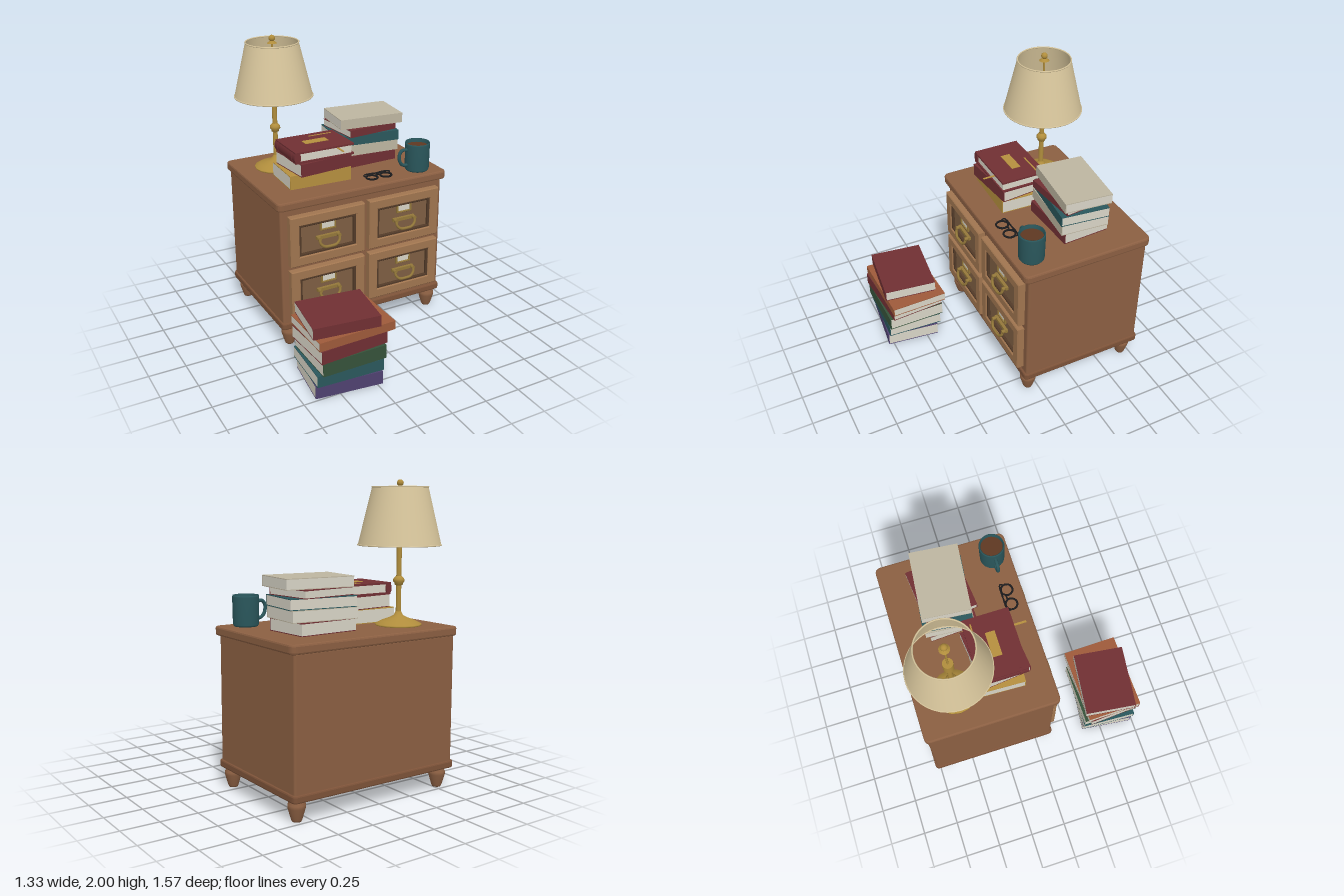
import * as THREE from 'three';
import { RoundedBoxGeometry } from 'three/addons/geometries/RoundedBoxGeometry.js';

const mat = (color, extra = {}) => new THREE.MeshStandardMaterial({ color, ...extra });
const wood = mat(0x8b5f42), trimWood = mat(0x7c5238), frameWood = mat(0xa0754f), panelWood = mat(0x7d5e42);
const darkWood = mat(0x523a28), brass = mat(0xb08d3c), pullBrass = mat(0x94783a), paper = mat(0xd8d4c6);
const red = mat(0x702f33), teal = mat(0x2a575c), gold = mat(0xb58f3e), black = mat(0x1c1c1e);
const beige = mat(0xbdb5a0), orange = mat(0x9e5a3a), green = mat(0x35523a), purple = mat(0x4f4170);
const shadeCloth = mat(0xd8c69c, { side: THREE.DoubleSide });

function add(parent, name, geometry, material, x = 0, y = 0, z = 0) {
  const mesh = new THREE.Mesh(geometry, material);
  mesh.name = name;
  mesh.position.set(x, y, z);
  parent.add(mesh);
  return mesh;
}

function group(parent, name, x = 0, y = 0, z = 0) {
  const g = new THREE.Group();
  g.name = name;
  g.position.set(x, y, z);
  parent.add(g);
  return g;
}

const box = (w, h, d) => new THREE.BoxGeometry(w, h, d);
const lathe = (points, n) => new THREE.LatheGeometry(points.map(p => new THREE.Vector2(...p)), n);
const tube = (points, r, n = 16, sides = 8) =>
  new THREE.TubeGeometry(new THREE.CatmullRomCurve3(points.map(p => new THREE.Vector3(...p))), n, r, sides);

// Rectangular frame with a rectangular opening and a slight bevel
function frame(w, h, border, depth, bevel) {
  const rect = (a, b, Type) => {
    const s = new Type();
    s.moveTo(-a, -b).lineTo(a, -b).lineTo(a, b).lineTo(-a, b).closePath();
    return s;
  };
  const shape = rect(w / 2 - bevel, h / 2 - bevel, THREE.Shape);
  shape.holes.push(rect(w / 2 - border, h / 2 - border, THREE.Path));
  return new THREE.ExtrudeGeometry(shape, {
    depth: depth - 2 * bevel, bevelThickness: bevel, bevelSize: bevel, bevelSegments: 1,
  }).translate(0, 0, bevel);
}

// Rounded-corner slab lying flat, base at y = 0
function slab(w, d, h, r, bevel) {
  const a = w / 2 - bevel, b = d / 2 - bevel, s = new THREE.Shape();
  s.moveTo(-a + r, -b).lineTo(a - r, -b).quadraticCurveTo(a, -b, a, -b + r);
  s.lineTo(a, b - r).quadraticCurveTo(a, b, a - r, b).lineTo(-a + r, b);
  s.quadraticCurveTo(-a, b, -a, b - r).lineTo(-a, -b + r).quadraticCurveTo(-a, -b, -a + r, -b);
  return new THREE.ExtrudeGeometry(s, {
    depth: h - 2 * bevel, bevelThickness: bevel, bevelSize: bevel, bevelSegments: 2, curveSegments: 5,
  }).rotateX(-Math.PI / 2).translate(0, bevel, 0);
}

function cabinet(root) {
  const g = group(root, 'cabinet', 0.025, 0, -0.33);
  add(g, 'body', new RoundedBoxGeometry(1.23, 0.85, 0.87, 2, 0.015), wood, 0, 0.595, 0);
  add(g, 'baseMoulding', slab(1.255, 0.9, 0.05, 0.02, 0.01), trimWood, 0, 0.135, 0);
  add(g, 'top', slab(1.28, 0.92, 0.06, 0.03, 0.012), wood, 0, 1.01, 0.01);
  const foot = lathe([[0, 0], [0.028, 0], [0.034, 0.012], [0.055, 0.085], [0.055, 0.105], [0.042, 0.125], [0.042, 0.14], [0, 0.14]], 16);
  for (const x of [-0.555, 0.555]) for (const z of [-0.365, 0.39]) add(g, 'foot', foot, wood, x, 0, z);
}

function drawer(root, x, y) {
  const g = group(root, 'drawer', x, y, 0.095);
  add(g, 'drawerFrame', frame(0.55, 0.352, 0.06, 0.058, 0.006), frameWood);
  add(g, 'drawerPanel', box(0.46, 0.26, 0.03), panelWood, 0, 0, 0.016);
  add(g, 'panelMoulding', frame(0.432, 0.234, 0.019, 0.02, 0.004), darkWood, 0, 0, 0.028);
  // Card holder
  add(g, 'labelCard', box(0.1, 0.055, 0.008), paper, 0.005, 0.076, 0.034);
  add(g, 'labelFrame', frame(0.116, 0.07, 0.009, 0.016, 0.002), pullBrass, 0.005, 0.076, 0.03);
  // Hanging pull
  const pull = group(g, 'pull', 0.002, -0.005, 0.03);
  add(pull, 'pullPlate', box(0.17, 0.022, 0.024), pullBrass, 0, 0, 0.01);
  for (const s of [-1, 1]) {
    add(pull, 'pullPost', new THREE.CylinderGeometry(0.013, 0.013, 0.04, 8).rotateX(Math.PI / 2), pullBrass, s * 0.072, 0, 0.025);
  }
  add(pull, 'bail', tube([[-0.074, 0, 0.036], [-0.07, -0.03, 0.045], [-0.045, -0.054, 0.052], [0, -0.058, 0.054],
    [0.045, -0.054, 0.052], [0.07, -0.03, 0.045], [0.074, 0, 0.036]], 0.01, 18, 6), pullBrass);
}

// Closed book with its spine towards +z
function book(root, [cover, x, z, y0, y1, w, d, turn]) {
  const g = group(root, 'book', x, y0, z), h = y1 - y0, t = 0.005;
  g.rotation.y = turn;
  add(g, 'pages', box(w - 0.002, h - 2 * t, d - t), paper, 0, h / 2, -t / 2);
  for (const y of [t / 2, h - t / 2]) add(g, 'cover', box(w, t, d), cover, 0, y, 0);
  add(g, 'spine', box(w, h, t), cover, 0, h / 2, d / 2 - t / 2);
}

// Ornate book with a rounded spine at its right-hand edge
function ornateBook(root) {
  const g = group(root, 'ornateBook', -0.195, 1.252, -0.182);
  for (const y of [0.006, 0.072]) add(g, 'cover', box(0.43, 0.012, 0.32), red, 0, y, 0);
  add(g, 'pages', box(0.405, 0.056, 0.3), paper, -0.002, 0.039, 0);
  const spine = add(g, 'spine', new THREE.CylinderGeometry(0.039, 0.039, 0.32, 16).rotateX(Math.PI / 2), red, -0.2, 0.039, 0);
  spine.scale.x = 0.6;
  for (const z of [-0.11, 0.11]) {
    const band = add(g, 'spineBand', new THREE.CylinderGeometry(0.041, 0.041, 0.012, 16).rotateX(Math.PI / 2), red, -0.2, 0.039, z);
    band.scale.x = 0.65;
  }
  add(g, 'coverPlate', box(0.17, 0.004, 0.064), gold, 0.005, 0.079, -0.003);
  add(g, 'coverLine', box(0.17, 0.003, 0.01), gold, 0.09, 0.079, -0.108);
  add(g, 'ribbon', box(0.014, 0.003, 0.1), gold, 0.092, 0.064, 0.192);
}

function lamp(root) {
  const g = group(root, 'lamp', -0.34, 0, -0.505);
  add(g, 'lampBase', lathe([[0, 1.068], [0.15, 1.068], [0.15, 1.08], [0.115, 1.098], [0.06, 1.118], [0.03, 1.135], [0.017, 1.16]], 16), brass);
  add(g, 'lampStem', new THREE.CylinderGeometry(0.017, 0.017, 0.5, 12), brass, 0, 1.36, 0);
  add(g, 'stemKnob', lathe([[0.016, 1.325], [0.026, 1.332], [0.026, 1.34], [0.036, 1.352], [0.036, 1.368], [0.026, 1.38], [0.016, 1.388]], 16), brass);
  add(g, 'socket', new THREE.CylinderGeometry(0.034, 0.034, 0.09, 14), brass, 0, 1.64, 0);
  add(g, 'lampRod', new THREE.CylinderGeometry(0.007, 0.007, 0.32, 8), brass, 0, 1.81, 0);
  add(g, 'finialCollar', new THREE.CylinderGeometry(0.015, 0.034, 0.015, 12), brass, 0, 1.952, 0);
  add(g, 'finial', new THREE.SphereGeometry(0.022, 14, 10), brass, 0, 1.978, 0);
  // Open shade with rolled edges
  add(g, 'shade', new THREE.CylinderGeometry(0.178, 0.267, 0.37, 40, 1, true), shadeCloth, 0, 1.77, 0);
  for (const [r, y] of [[0.178, 1.953], [0.266, 1.588]]) {
    add(g, 'shadeRim', new THREE.TorusGeometry(r, 0.005, 6, 40).rotateX(Math.PI / 2), shadeCloth, 0, y, 0);
  }
}

function mug(root) {
  const g = group(root, 'mug', 0.497, 1.07, 0.014);
  add(g, 'mugBody', lathe([[0, 0], [0.076, 0], [0.084, 0.012], [0.087, 0.19], [0.084, 0.2], [0.077, 0.197], [0.074, 0.16], [0.07, 0.02], [0, 0.02]], 28), teal);
  add(g, 'coffee', new THREE.CylinderGeometry(0.075, 0.075, 0.004, 24), mat(0x5e3822), 0, 0.172, 0);
  add(g, 'mugHandle', tube([[-0.078, 0.155, 0], [-0.125, 0.155, 0], [-0.144, 0.125, 0], [-0.138, 0.075, 0], [-0.112, 0.048, 0], [-0.076, 0.045, 0]], 0.012), teal);
}

function glasses(root) {
  const g = group(root, 'glasses', 0.18, 1.08, 0.035);
  for (const s of [-1, 1]) {
    add(g, 'rim', new THREE.TorusGeometry(0.04, 0.007, 6, 14).rotateX(Math.PI / 2), black, s * 0.054, 0.004, 0);
    add(g, 'temple', tube([[s * 0.09, 0.006, -0.01], [s * 0.1, 0.012, -0.035], [s * 0.07, 0.014, -0.043], [-s * 0.06, 0.008, -0.04]], 0.005, 14, 6), black);
  }
  add(g, 'bridge', tube([[-0.02, 0.006, -0.012], [0, 0.012, -0.018], [0.02, 0.006, -0.012]], 0.006, 8, 6), black);
}

export function createModel() {
  const root = new THREE.Group();
  root.name = 'bedsideCabinet';
  cabinet(root);
  for (const x of [-0.266, 0.319]) for (const y of [0.398, 0.786]) drawer(root, x, y);

  // cover, x, z, bottom, top, width, depth, turn
  const floorStack = group(root, 'floorStack');
  [
    [purple, -0.415, 0.575, 0, 0.092, 0.45, 0.37, -0.12],
    [teal, -0.418, 0.57, 0.092, 0.172, 0.457, 0.385, -0.05],
    [green, -0.403, 0.57, 0.172, 0.266, 0.445, 0.4, 0.005],
    [red, -0.41, 0.575, 0.266, 0.355, 0.475, 0.375, 0.065],
    [orange, -0.382, 0.568, 0.355, 0.415, 0.535, 0.39, 0.02],
    [red, -0.421, 0.566, 0.415, 0.492, 0.445, 0.36, -0.124],
  ].forEach(b => book(floorStack, b));

  const leftStack = group(root, 'leftStack');
  [
    [gold, -0.215, -0.195, 1.07, 1.165, 0.44, 0.31, -0.04],
    [red, -0.204, -0.182, 1.165, 1.252, 0.39, 0.33, 0.1],
  ].forEach(b => book(leftStack, b));
  ornateBook(leftStack);

  const rightStack = group(root, 'rightStack');
  [
    [red, 0.255, -0.395, 1.07, 1.15, 0.42, 0.33, 0.05],
    [beige, 0.26, -0.395, 1.15, 1.225, 0.46, 0.33, -0.08],
    [teal, 0.268, -0.395, 1.225, 1.295, 0.46, 0.33, -0.11],
    [red, 0.268, -0.397, 1.295, 1.347, 0.385, 0.345, 0.1],
    [beige, 0.292, -0.393, 1.347, 1.416, 0.467, 0.322, -0.095],
  ].forEach(b => book(rightStack, b));

  lamp(root);
  mug(root);
  glasses(root);
  return root;
}
